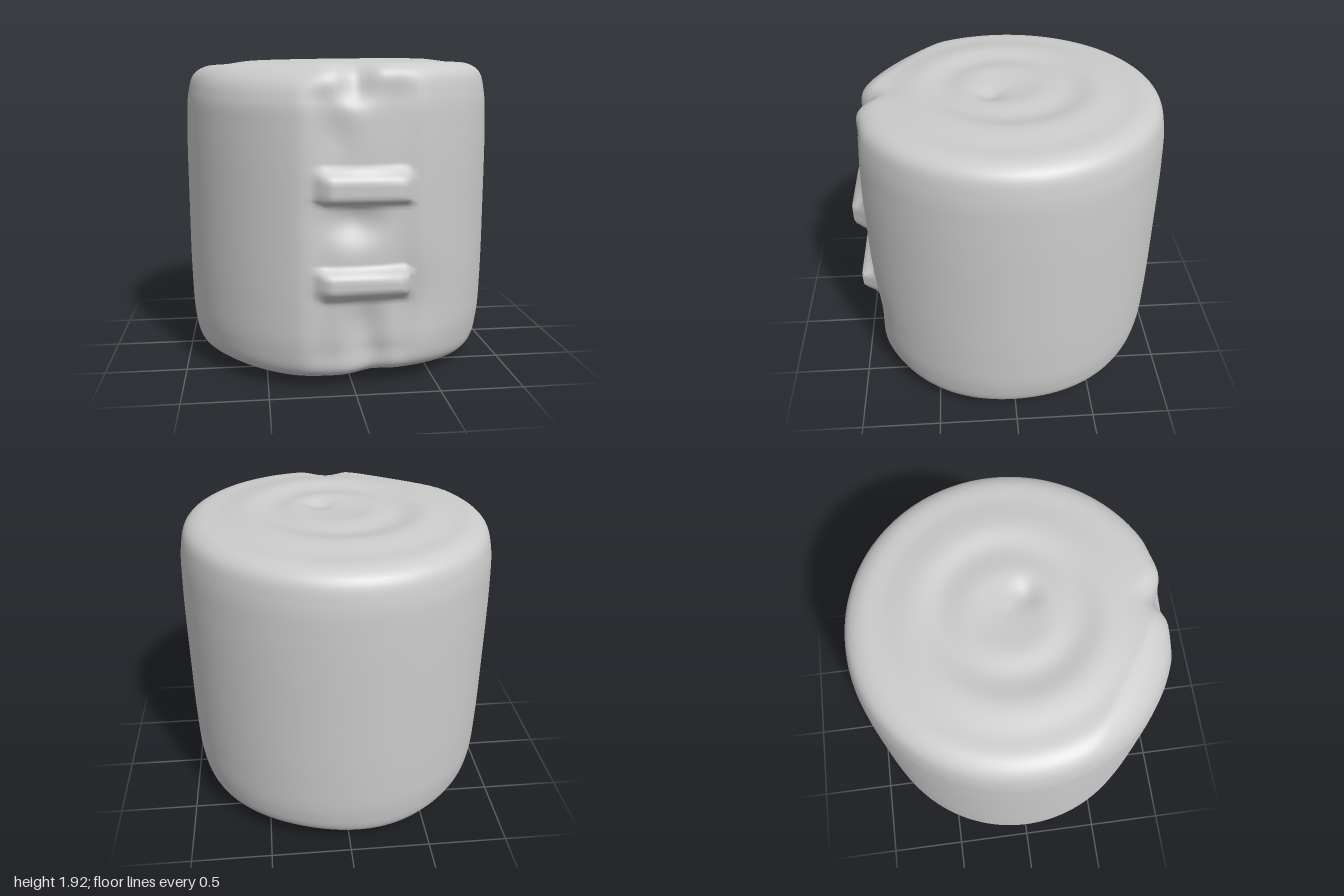
import * as THREE from 'three';
import { mergeVertices } from 'three/addons/utils/BufferGeometryUtils.js';

const { smoothstep, lerp } = THREE.MathUtils;
// 1 inside [a, b], fading to 0 over f0 below and f1 above
const band = (v, a, b, f0, f1 = f0) => smoothstep(v, a - f0, a) * (1 - smoothstep(v, b, b + f1));
// soft round spot
const spot = (x, y, cx, cy, rx, ry) => Math.exp(-(((x - cx) / rx) ** 2) - ((y - cy) / ry) ** 2);

// Radius and height, from the underside up the wall to the lid, with faint rings on both ends
const PROFILE = [
  [0, 0.02], [0.2, 0.01], [0.38, 0.045], [0.55, 0.025], [0.72, 0.045], [0.86, 0.07], [0.93, 0.12],
  [0.965, 0.25], [0.98, 0.5], [0.985, 1], [0.983, 1.5], [0.97, 1.72], [0.935, 1.84], [0.86, 1.89],
  [0.72, 1.905], [0.55, 1.925], [0.4, 1.905], [0.25, 1.92], [0.12, 1.91], [0, 1.9],
];

// Sculpts the front face: flattened strip, groove and two protruding ledges
function sculptFront(p) {
  const { x, y } = p;
  const front = smoothstep(p.z, 0.6, 0.85);
  const wall = band(y, 0.25, 1.68, 0.25);
  const strip = band(x, -0.15, 0.25, 0.18);
  let dent = 0.045 * strip * wall;
  dent += 0.07 * spot(x, y, 0.0, 1.02, 0.15, 0.13);
  dent += 0.06 * spot(x, y, 0.06, 0.4, 0.1, 0.2);
  dent += 0.05 * spot(x, y, 0.12, 0.12, 0.1, 0.18);
  dent += 0.03 * spot(x, y, 0.33, 0.5, 0.2, 0.25);
  dent += 0.02 * spot(x, y, -0.1, 1.5, 0.08, 0.15);
  dent += 0.07 * spot(x, y, 0.0, 1.84, 0.1, 0.13);
  p.z -= dent * front;

  const side = band(x, -0.17, 0.29, 0.06, 0.03);
  const upper = side * band(y, 1.14, 1.24, 0.04, 0.09);
  const lower = side * band(y, 0.62, 0.69, 0.09, 0.06);
  p.z = lerp(p.z, 0.995, Math.max(upper, lower) * front);
}

// Shapes the lid: sloping front-left bevel, notch at the rim and a small central pit
function sculptTop(p) {
  const top = smoothstep(p.y, 1.6, 1.85);
  const reach = -0.54 * p.x + 0.84 * p.z;
  p.y -= top * 0.32 * Math.max(0, reach - 0.76);
  p.y -= top * 0.06 * spot(p.x, p.z, 0, 0.92, 0.09, 0.12);
  p.y -= top * 0.03 * spot(p.x, p.z, 0.1, 0.11, 0.09, 0.08);
  p.y += top * 0.012 * p.x;
}

// Uneven lower rim and underside
function sculptBottom(p) {
  const low = 1 - smoothstep(p.y, 0.05, 0.3);
  const angle = Math.atan2(p.x, p.z);
  const r = Math.hypot(p.x, p.z);
  p.y += low * r * r * 0.012 * (Math.sin(5 * angle) + Math.sin(3 * angle + 1));
}

export function createModel() {
  const group = new THREE.Group();
  group.name = 'carvedDrum';

  const curve = new THREE.CatmullRomCurve3(PROFILE.map(([r, y]) => new THREE.Vector3(r, y, 0)), false, 'centripetal');
  const points = curve.getSpacedPoints(170).map((p) => new THREE.Vector2(Math.max(0, p.x), p.y));
  let geometry = new THREE.LatheGeometry(points, 144);

  const position = geometry.attributes.position;
  const p = new THREE.Vector3();
  for (let i = 0; i < position.count; i++) {
    p.fromBufferAttribute(position, i);
    sculptFront(p);
    sculptTop(p);
    sculptBottom(p);
    position.setXYZ(i, p.x, Math.max(0, p.y), p.z);
  }

  // Weld the seam so the shading is continuous
  geometry.deleteAttribute('uv');
  geometry.deleteAttribute('normal');
  geometry = mergeVertices(geometry, 1e-4);
  geometry.computeVertexNormals();

  const body = new THREE.Mesh(geometry, new THREE.MeshStandardMaterial({ color: 0xcccccc }));
  body.name = 'drumBody';
  group.add(body);
  return group;
}
